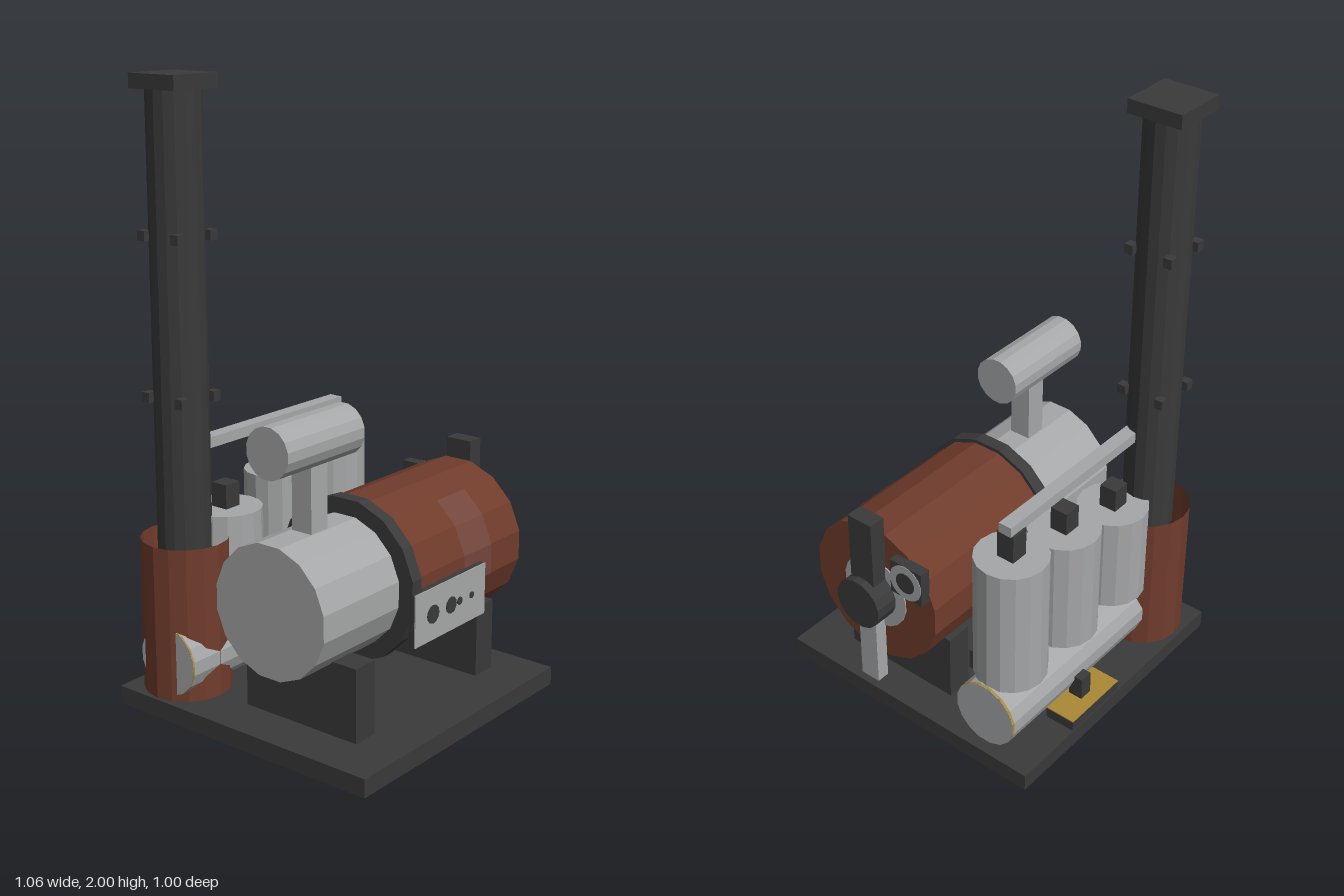
import * as THREE from 'three';

const mat = (name, color, side = THREE.FrontSide) => {
  const m = new THREE.MeshStandardMaterial({ color, flatShading: true, side });
  m.name = name;
  return m;
};

export function createModel() {
  const group = new THREE.Group();
  const dark = mat('dark iron', 0x3a3a3a);
  const steel = mat('steel', 0xa6a7a8);
  const rust = mat('rust brown', 0x703c2c);
  const rustOpen = mat('rust brown shell', 0x703c2c, THREE.DoubleSide);
  const brass = mat('brass', 0xab8a36);
  const glass = mat('tinted glass', 0x74463d, THREE.DoubleSide);

  const add = (name, geo, material) => {
    const mesh = new THREE.Mesh(geo, material);
    mesh.name = name;
    group.add(mesh);
    return mesh;
  };
  // box given by its limits on each axis
  const box = (name, m, x0, x1, y0, y1, z0, z1) =>
    add(name, new THREE.BoxGeometry(x1 - x0, y1 - y0, z1 - z0), m)
      .position.set((x0 + x1) / 2, (y0 + y1) / 2, (z0 + z1) / 2);
  // upright cylinder
  const upright = (name, m, r, y0, y1, x, z, open = false) =>
    add(name, new THREE.CylinderGeometry(r, r, y1 - y0, 16, 1, open), m)
      .position.set(x, (y0 + y1) / 2, z);
  // lying cylinder along x, with a flat facet on top
  const lying = (name, m, r, x0, x1, y, z, sides = 16) =>
    add(name, new THREE.CylinderGeometry(r, r, x1 - x0, sides)
      .rotateY(Math.PI / sides).rotateZ(Math.PI / 2), m)
      .position.set((x0 + x1) / 2, y, z);

  // base and boiler saddles
  box('base', dark, -0.53, 0.465, 0, 0.06, -0.5, 0.5);
  for (const x of [-0.33, 0.295])
    box('saddle', dark, x - 0.045, x + 0.045, 0.06, 0.3, -0.09, 0.345);

  // boiler
  const by = 0.465, bz = 0.125;
  lying('boiler', rust, 0.253, -0.13, 0.445, by, bz);
  lying('boilerBand', dark, 0.266, -0.155, -0.11, by, bz);
  lying('smokebox', steel, 0.213, -0.51, -0.15, by, bz);
  const rad = THREE.MathUtils.degToRad;
  add('boilerWindow', new THREE.CylinderGeometry(0.255, 0.255, 0.15, 3, 1, true, rad(-11.25), rad(67.5))
    .rotateZ(Math.PI / 2), glass).position.set(0.205, by, bz);

  // steam drum on its post
  box('drumPost', steel, -0.36, -0.285, 0.66, 0.9, 0.088, 0.163);
  lying('steamDrum', steel, 0.081, -0.51, -0.16, 0.952, bz);

  // fittings on the boiler end
  lying('endRing', steel, 0.13, 0.44, 0.449, by, bz, 20);
  box('endLever', dark, 0.445, 0.503, by, 0.78, 0.078, 0.173);
  box('endLeg', steel, 0.445, 0.49, 0.127, by, 0.09, 0.162);
  lying('endHub', dark, 0.088, 0.445, 0.53, by, bz);
  box('gaugeBox', dark, 0.44, 0.478, 0.54, 0.665, -0.1, 0.027);
  lying('gaugeRim', steel, 0.064, 0.475, 0.48, 0.602, -0.036);
  lying('gaugeFace', dark, 0.037, 0.478, 0.482, 0.602, -0.036);

  // control panel with dials
  box('controlPanel', dark, -0.155, 0.215, 0.305, 0.475, 0.37, 0.393);
  box('panelFace', steel, -0.155, 0.215, 0.305, 0.475, 0.393, 0.397);
  for (const [x, r] of [[-0.065, 0.03], [0.03, 0.027], [0.075, 0.013], [0.14, 0.011]])
    add('dial', new THREE.CylinderGeometry(r, r, 0.004, 12).rotateX(Math.PI / 2), dark)
      .position.set(x, 0.39, 0.398);

  // rear tank with brass end bands
  const tz = -0.313;
  lying('rearTank', steel, 0.114, -0.5, 0.435, 0.188, tz);
  lying('tankBand', brass, 0.1145, 0.426, 0.434, 0.188, tz);
  lying('tankBand', brass, 0.1145, -0.499, -0.494, 0.188, tz);

  // three stepped cylinders with valves
  for (const [x, top, valveTop] of [[-0.22, 0.63, 0.71], [0.042, 0.695, 0.775], [0.305, 0.75, 0.847]]) {
    upright('verticalCylinder', steel, 0.119, 0.295, top, x, tz);
    box('topValve', dark, x - 0.031, x + 0.031, top - 0.01, valveTop, tz - 0.031, tz + 0.031);
    box('drainValve', dark, x - 0.026, x + 0.026, 0.225, 0.3, -0.22, -0.165);
  }
  box('steamPipe', steel, -0.36, 0.338, 0.845, 0.88, -0.337, -0.29);

  // rear step with a brass top and valve
  box('rearStep', dark, -0.03, 0.215, 0.06, 0.096, -0.497, -0.39);
  box('stepPlate', brass, -0.03, 0.215, 0.096, 0.1, -0.497, -0.39);
  box('stepValve', dark, 0.067, 0.115, 0.1, 0.18, -0.455, -0.405);

  // chimney in an open furnace shell
  const cx = -0.378, cz = -0.343;
  upright('furnaceShell', rustOpen, 0.142, 0.06, 0.565, cx, cz, true);
  upright('chimney', dark, 0.086, 0.5, 1.96, cx, cz);
  box('chimneyCap', dark, cx - 0.093, cx + 0.093, 1.955, 2, cz - 0.093, cz + 0.093);
  for (const y of [1.02, 1.52])
    for (const sx of [-1, 1])
      for (const sz of [-1, 1]) {
        const x = cx + sx * 0.07, z = cz + sz * 0.07;
        box('chimneyBolt', dark, x - 0.015, x + 0.015, y - 0.016, y + 0.016, z - 0.015, z + 0.015);
      }
  return group;
}
